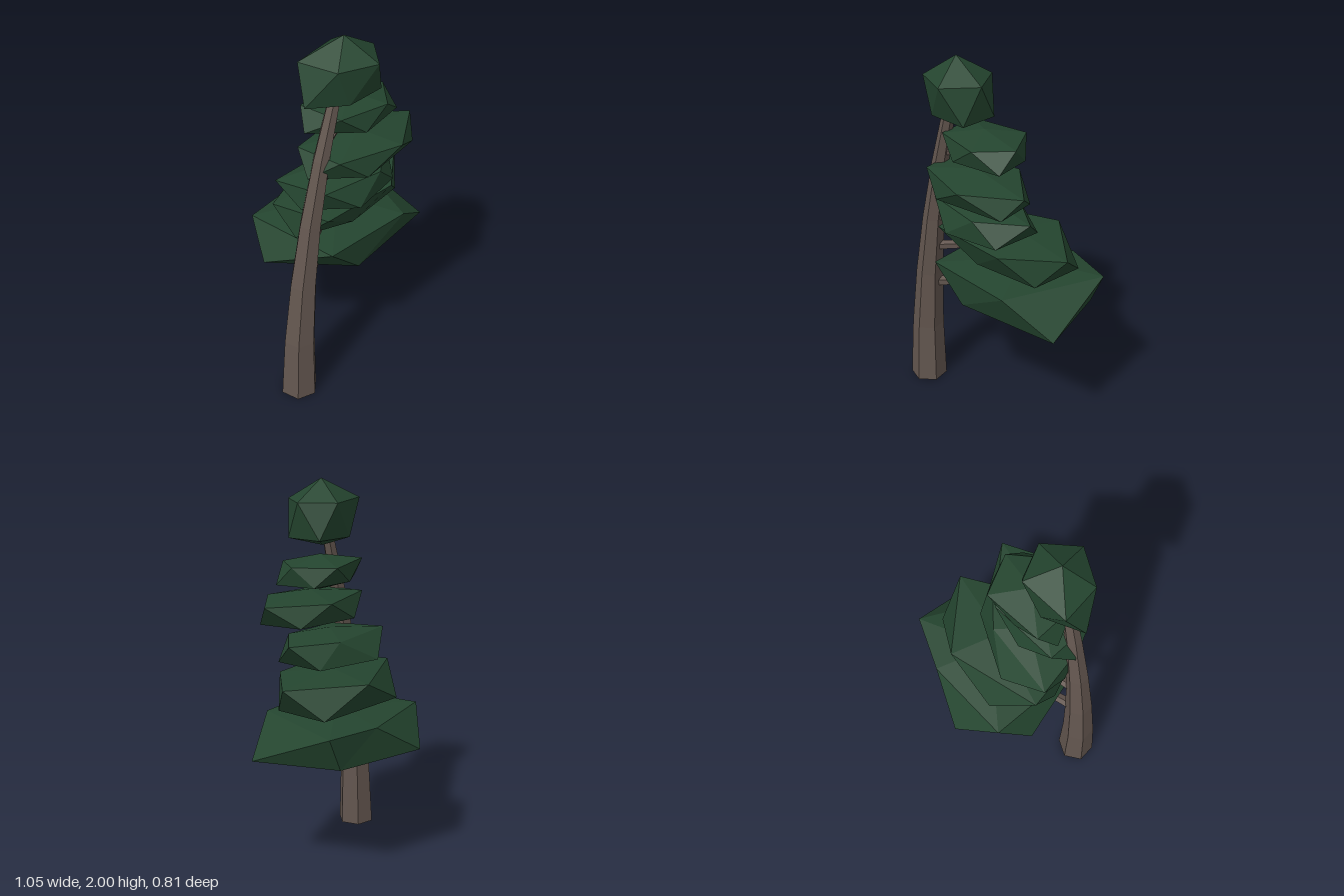
import * as THREE from 'three';

const leaf = new THREE.MeshStandardMaterial({ color: 0x24452f, flatShading: true });
leaf.name = 'leaf green';
const bark = new THREE.MeshStandardMaterial({ color: 0x63564f, flatShading: true });
bark.name = 'bark brown';

const TRUNK_Z = 0.225;
const trunkX = (y) => -0.43 + 0.0865 * y * y;

// Twelve-cornered clump: two poles and a zigzag ring of ten [x, z] points
// that alternate between an upper and a lower height.
function clump(name, top, bottom, upperY, lowerY, ring) {
  const pts = ring.map(([x, z], i) => new THREE.Vector3(x, i % 2 ? lowerY : upperY, z));
  const t = new THREE.Vector3(...top);
  const b = new THREE.Vector3(...bottom);
  const tris = [];
  for (let i = 0; i < 10; i += 2) {
    const u0 = pts[i], l0 = pts[i + 1], u1 = pts[(i + 2) % 10], l1 = pts[(i + 3) % 10];
    tris.push(t, u1, u0, u0, u1, l0, l0, u1, l1, b, l0, l1);
  }
  const geo = new THREE.BufferGeometry().setFromPoints(tris);
  geo.computeVertexNormals();
  const mesh = new THREE.Mesh(geo, leaf);
  mesh.name = name;
  return mesh;
}

// Tapered hexagonal trunk, bent sideways towards the top
function trunk() {
  const h = 1.74;
  const geo = new THREE.CylinderGeometry(0.03, 0.1, h, 6, 5);
  geo.rotateY(THREE.MathUtils.degToRad(16));
  geo.translate(0, h / 2, 0);
  const p = geo.attributes.position;
  for (let i = 0; i < p.count; i++) {
    p.setXYZ(i, p.getX(i) + trunkX(p.getY(i)), p.getY(i), p.getZ(i) + TRUNK_Z);
  }
  geo.computeVertexNormals();
  const mesh = new THREE.Mesh(geo, bark);
  mesh.name = 'trunk';
  return mesh;
}

// Thin branch from the trunk into the middle of a clump
function branch(y, end, radius) {
  const a = new THREE.Vector3(trunkX(y), y, TRUNK_Z);
  const dir = new THREE.Vector3(...end).sub(a);
  const len = dir.length();
  const mesh = new THREE.Mesh(new THREE.CylinderGeometry(radius * 0.5, radius, len, 5), bark);
  mesh.position.copy(a).addScaledVector(dir, 0.5);
  mesh.quaternion.setFromUnitVectors(new THREE.Vector3(0, 1, 0), dir.normalize());
  mesh.name = 'branch';
  return mesh;
}

export function createModel() {
  const tree = new THREE.Group();
  tree.name = 'windswept tree';
  tree.add(trunk());

  // Crown at the tip, then five layers going down
  tree.add(clump('crown', [-0.12, 2, 0.22], [-0.13, 1.65, 0.22], 1.89, 1.7, [
    [0.07, 0.22], [0.04, 0.31], [-0.05, 0.385], [-0.18, 0.33], [-0.25, 0.325],
    [-0.357, 0.215], [-0.315, 0.12], [-0.18, 0.08], [-0.05, 0.055], [0.03, 0.11]]));

  tree.add(clump('foliageLayer1', [-0.01, 1.63, 0.14], [-0.01, 1.45, 0.13], 1.59, 1.49, [
    [0.22, 0.135], [0.22, 0.24], [0.09, 0.305], [-0.05, 0.31], [-0.18, 0.27],
    [-0.28, 0.12], [-0.23, 0.035], [-0.08, 0], [0.085, -0.05], [0.17, 0.03]]));

  tree.add(clump('foliageLayer2', [0, 1.44, 0.2], [-0.01, 1.245, 0.18], 1.4, 1.29, [
    [0.355, 0.2], [0.29, 0.29], [0.1, 0.405], [-0.1, 0.38], [-0.24, 0.33],
    [-0.33, 0.2], [-0.29, 0.08], [-0.12, 0], [0.08, -0.01], [0.24, 0.06]]));

  tree.add(clump('foliageLayer3', [-0.05, 1.24, 0.11], [-0.04, 1.04, 0.1], 1.2, 1.08, [
    [0.29, 0.1], [0.2, 0.25], [0.07, 0.29], [-0.1, 0.33], [-0.27, 0.26],
    [-0.33, 0.15], [-0.37, 0], [-0.16, -0.125], [0.05, -0.04], [0.2, -0.03]]));

  tree.add(clump('foliageLayer4', [0.06, 1.06, 0], [0.04, 0.85, 0], 1.03, 0.88, [
    [0.455, 0], [0.35, 0.12], [0.2, 0.24], [-0.02, 0.19], [-0.25, 0.26],
    [-0.33, 0.1], [-0.36, -0.04], [-0.2, -0.22], [0.105, -0.265], [0.35, -0.18]]));

  tree.add(clump('foliageLayer5', [0.08, 0.88, -0.04], [0.02, 0.59, -0.08], 0.83, 0.65, [
    [0.435, -0.28], [0.525, 0.15], [0.27, 0.27], [-0.05, 0.27], [-0.25, 0.29],
    [-0.4, -0.08], [-0.335, -0.25], [-0.15, -0.41], [0.14, -0.345], [0.35, -0.28]]));

  // One branch for each layer
  tree.add(branch(0.62, [0, 0.72, -0.02], 0.03));
  tree.add(branch(0.86, [0, 0.95, 0.02], 0.028));
  tree.add(branch(1.05, [-0.05, 1.13, 0.11], 0.026));
  tree.add(branch(1.26, [0, 1.34, 0.2], 0.024));
  tree.add(branch(1.45, [0, 1.53, 0.14], 0.022));
  return tree;
}
